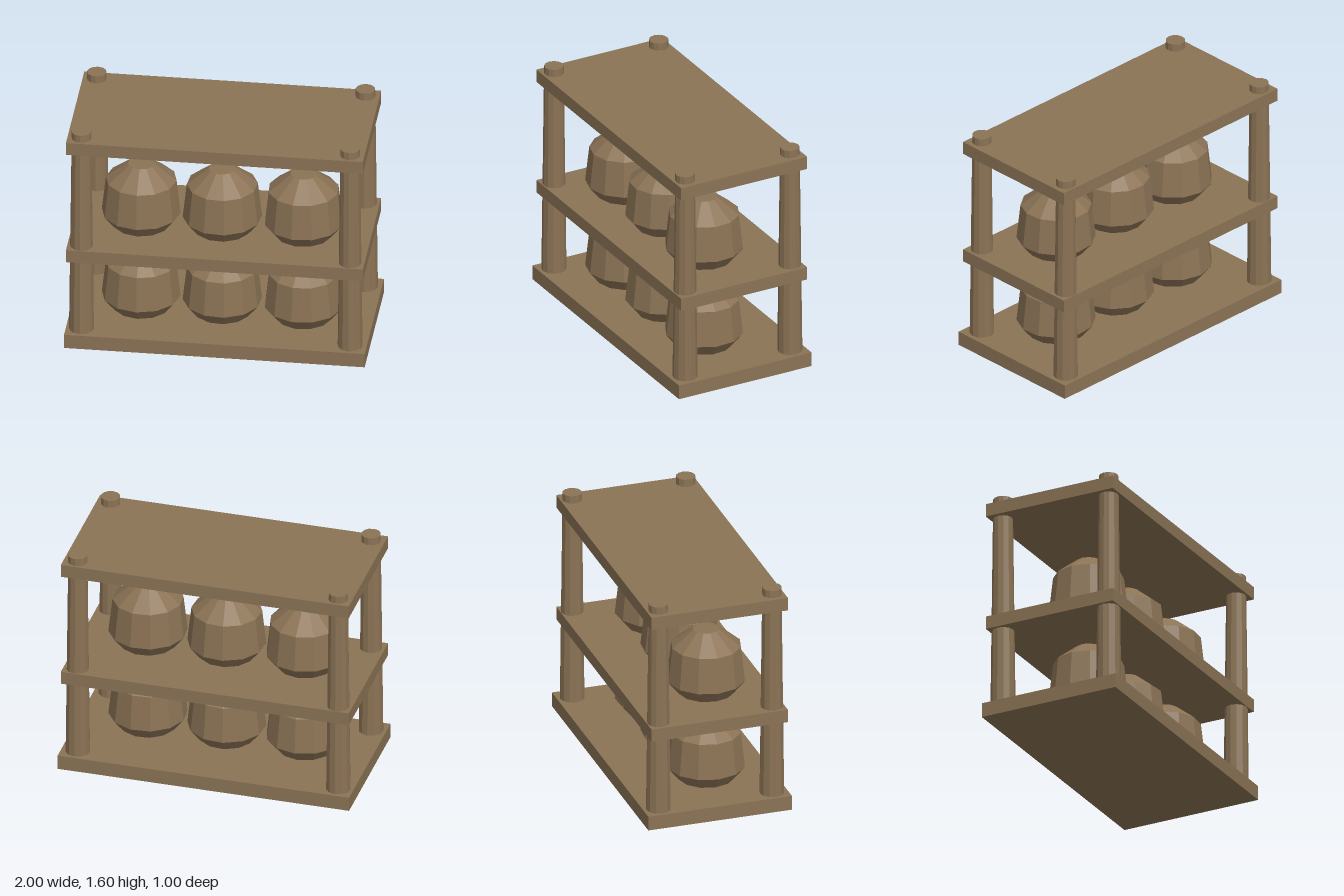
import * as THREE from 'three';

export function createModel() {
  const model = new THREE.Group();
  model.name = 'potRack';
  const wood = new THREE.MeshStandardMaterial({ color: 0x8b7355, flatShading: true });
  wood.name = 'brown wood';

  function add(name, geometry, x, y, z) {
    const mesh = new THREE.Mesh(geometry, wood);
    mesh.name = name;
    mesh.position.set(x, y, z);
    model.add(mesh);
    return mesh;
  }

  // Base and two slightly smaller shelves
  add('base', new THREE.BoxGeometry(2, 0.1, 1), 0, 0.05, 0);
  const shelf = new THREE.BoxGeometry(1.975, 0.09, 0.95);
  add('middleShelf', shelf, -0.003, 0.685, 0);
  add('topShelf', shelf, -0.003, 1.503, 0);

  // Tapered corner posts, running through the shelves
  const post = new THREE.CylinderGeometry(0.065, 0.083, 1.5, 12);
  for (const x of [-0.897, 0.89]) {
    for (const z of [-0.396, 0.394]) add('post', post, x, 0.85, z);
  }

  // Faceted pots with closed top and bottom, three per level
  const profile = [[0, 0], [0.19, 0], [0.262, 0.09], [0.235, 0.335], [0.088, 0.453], [0, 0.453]]
    .map(([r, y]) => new THREE.Vector2(r, y));
  const pot = new THREE.LatheGeometry(profile, 12);
  for (const y of [0.109, 0.737]) {
    [-0.543, -0.004, 0.537].forEach((x, i) => {
      add('pot', pot, x, y, 0.055).rotation.y = i * 0.17;
    });
  }
  return model;
}
